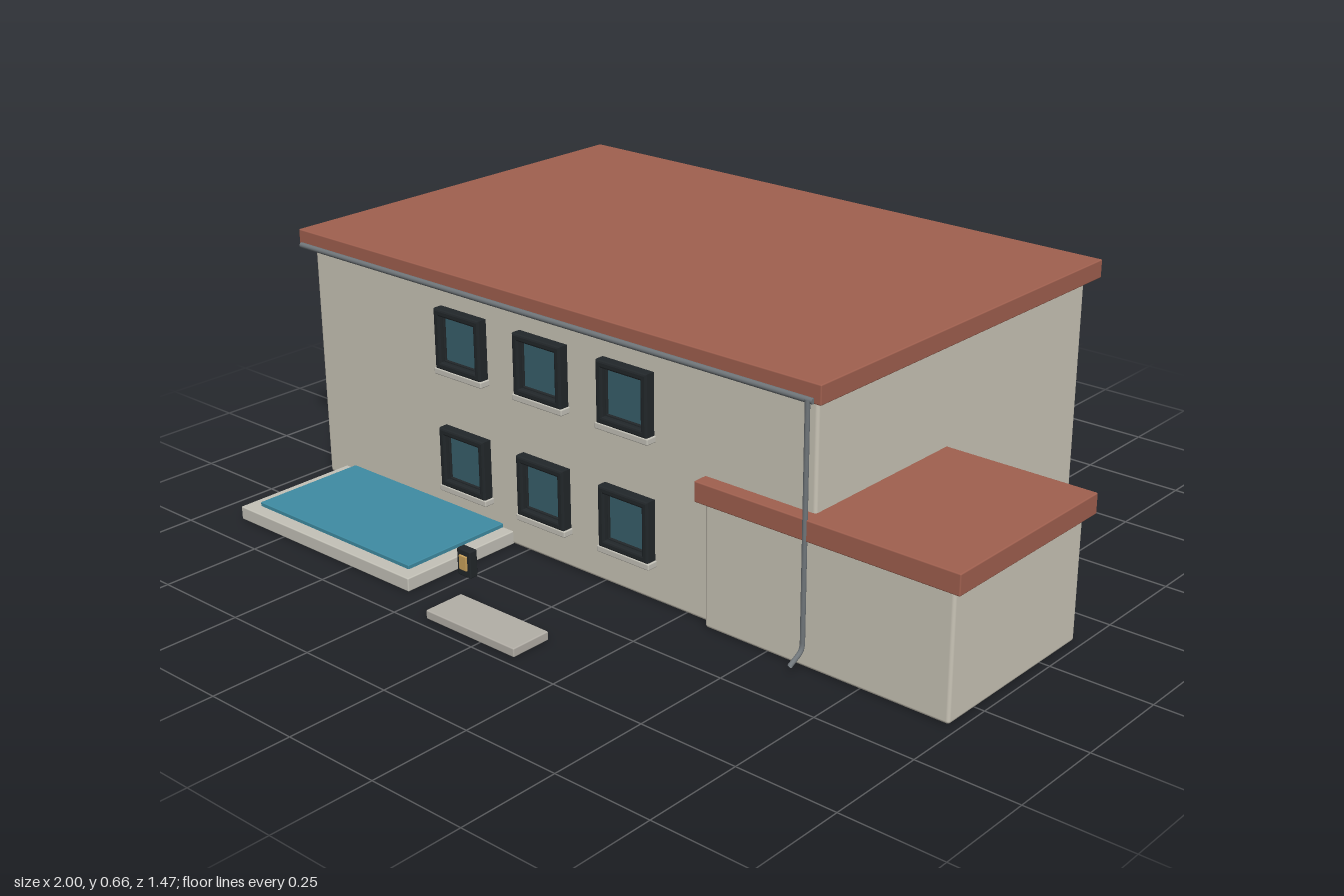
import * as THREE from 'three';
import { RoundedBoxGeometry } from 'three/addons/geometries/RoundedBoxGeometry.js';

const mat = (color) => new THREE.MeshStandardMaterial({ color });

export function createModel() {
  const house = new THREE.Group();
  house.name = 'house';
  const wall = mat(0xcac5b7), roof = mat(0xa0604f), dark = mat(0x22272a), glass = mat(0x38606c);
  const stone = mat(0xc4c2b8), paving = mat(0xb3afa7), water = mat(0x3f8ca3);
  const metal = mat(0x70767a), glow = mat(0xc8a05a);

  // Box given by its extents, with slightly softened edges
  function box(name, material, [x0, x1], [y0, y1], [z0, z1], r = 0.004, parent = house) {
    const mesh = new THREE.Mesh(new RoundedBoxGeometry(x1 - x0, y1 - y0, z1 - z0, 2, r), material);
    mesh.position.set((x0 + x1) / 2, (y0 + y1) / 2, (z0 + z1) / 2);
    mesh.name = name;
    parent.add(mesh);
    return mesh;
  }

  // Buildings and flat roofs
  box('mainWalls', wall, [-0.975, 0.61], [0.004, 0.618], [-0.71, 0.325], 0.008);
  box('mainRoof', roof, [-1, 0.638], [0.615, 0.661], [-0.738, 0.353], 0.003);
  box('annexWalls', wall, [0.325, 0.978], [0.004, 0.31], [-0.135, 0.348], 0.008);
  box('annexRoof', roof, [0.306, 0.998], [0.308, 0.358], [-0.155, 0.362], 0.003);

  // Rectangle as a list of points, for shapes and holes
  const rect = (w, h) => [[-w, -h], [w, -h], [w, h], [-w, h]].map(([x, y]) => new THREE.Vector2(x / 2, y / 2));
  function frameGeometry(outer, inner, depth, bevel) {
    const shape = new THREE.Shape(rect(outer, outer));
    shape.holes.push(new THREE.Path(rect(inner, inner).reverse()));
    return new THREE.ExtrudeGeometry(shape, {
      depth, bevelEnabled: true, bevelSize: bevel, bevelThickness: bevel, bevelSegments: 2,
    });
  }

  // Windows: dark frame, inner sash, pane and sill
  const outerFrame = frameGeometry(0.142, 0.126, 0.022, 0.005);
  const sash = frameGeometry(0.122, 0.112, 0.012, 0.002);
  for (const y of [0.181, 0.486]) {
    for (const x of [-0.443, -0.18, 0.083]) {
      const win = new THREE.Group();
      win.name = 'window';
      win.position.set(x, y, 0.325);
      const frame = new THREE.Mesh(outerFrame, dark);
      frame.name = 'windowFrame';
      const inner = new THREE.Mesh(sash, dark);
      inner.name = 'windowSash';
      win.add(frame, inner);
      box('windowPane', glass, [-0.062, 0.062], [-0.062, 0.062], [-0.004, 0.008], 0.001, win);
      box('windowSill', stone, [-0.08, 0.08], [-0.09, -0.074], [-0.005, 0.028], 0.003, win);
      house.add(win);
    }
  }

  // Pool with raised rim
  box('poolBasin', stone, [-0.91, -0.3], [0.004, 0.038], [0.3, 0.662], 0.003);
  box('poolWater', water, [-0.876, -0.335], [0.03, 0.048], [0.3, 0.628], 0.002);

  // Paving slab and lantern
  box('pavingSlab', paving, [-0.172, 0.106], [0.004, 0.026], [0.617, 0.724], 0.003);
  box('lanternBody', dark, [-0.054, -0.013], [0.156, 0.22], [0.708, 0.73], 0.003);
  box('lanternLight', glow, [-0.045, -0.022], [0.172, 0.207], [0.725, 0.734], 0.002);

  // Gutter under the front eave and its downpipe
  const gutter = new THREE.Mesh(new THREE.CylinderGeometry(0.007, 0.007, 1.61, 12), metal);
  gutter.rotation.z = Math.PI / 2;
  gutter.position.set(-0.185, 0.622, 0.355);
  gutter.name = 'gutter';
  house.add(gutter);

  const path = new THREE.CurvePath();
  const v = (y, z) => new THREE.Vector3(0.609, y, z);
  path.add(new THREE.LineCurve3(v(0.625, 0.36), v(0.07, 0.36)));
  path.add(new THREE.QuadraticBezierCurve3(v(0.07, 0.36), v(0.052, 0.36), v(0.045, 0.374)));
  path.add(new THREE.LineCurve3(v(0.045, 0.374), v(0.031, 0.402)));
  const pipeMetal = metal.clone();
  pipeMetal.side = THREE.DoubleSide;
  const pipe = new THREE.Mesh(new THREE.TubeGeometry(path, 120, 0.006, 10), pipeMetal);
  pipe.name = 'downpipe';
  house.add(pipe);

  return house;
}
